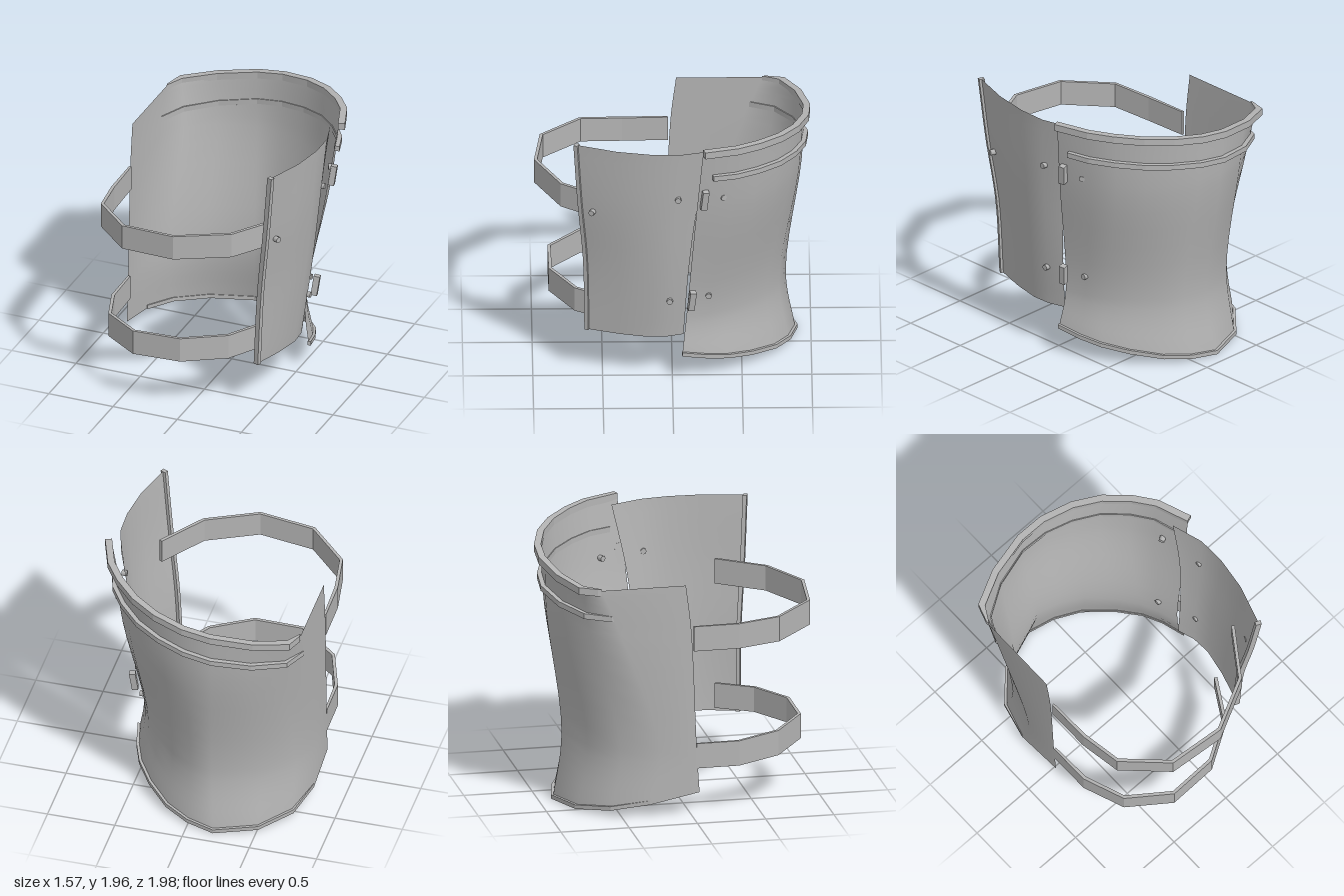
import * as THREE from 'three';

const V = (x, y, z) => new THREE.Vector3(x, y, z);
const CUT = -0.79; // flat inner side of the guard
const steel = new THREE.MeshStandardMaterial({ color: 0xb4b4b4, side: THREE.DoubleSide });
steel.name = 'steel grey';

function add(group, geometry, name) {
  const mesh = new THREE.Mesh(geometry, steel);
  mesh.name = name;
  group.add(mesh);
  return mesh;
}

// Smooth curved sheet: every column holds one point per level, joined by a spline
function columnsOf(levels, heightAt, rows) {
  return levels[0].map((_, j) => {
    const pts = levels.map((level, i) => V(level[j][0], heightAt(i, ...level[j]), level[j][1]));
    const spline = new THREE.CatmullRomCurve3(pts).getPoints(rows);
    spline.forEach(p => { p.x = Math.max(p.x, CUT); });
    return spline;
  });
}

function sheet(columns) {
  const rows = columns[0].length, index = [];
  for (let j = 0; j < columns.length - 1; j++) {
    for (let i = 0; i < rows - 1; i++) {
      const a = j * rows + i, b = a + rows;
      index.push(a, b, a + 1, b, b + 1, a + 1);
    }
  }
  const g = new THREE.BufferGeometry().setFromPoints(columns.flat());
  g.setIndex(index);
  g.computeVertexNormals();
  return g;
}

// Closed bar with flat faces from four-cornered sections
function bar(sections) {
  const index = [], n = sections.length;
  for (let i = 0; i < n - 1; i++) {
    for (let k = 0; k < 4; k++) {
      const a = i * 4 + k, b = i * 4 + (k + 1) % 4;
      index.push(a, b, a + 4, b, b + 4, a + 4);
    }
  }
  const e = (n - 1) * 4;
  index.push(0, 2, 1, 0, 3, 2, e, e + 1, e + 2, e, e + 2, e + 3);
  const g = new THREE.BufferGeometry().setFromPoints(sections.flat());
  g.setIndex(index);
  const flat = g.toNonIndexed();
  flat.computeVertexNormals();
  return flat;
}

// Horizontal band along a path: inner and outer offset, lower and upper height
function band(path, inner, outer, low, high) {
  return bar(path.map((p, i) => {
    const t = path[Math.min(i + 1, path.length - 1)].clone().sub(path[Math.max(i - 1, 0)]);
    const out = V(-t.z, 0, t.x).normalize();
    const at = (d, y) => {
      const q = p.clone().addScaledVector(out, d);
      return V(Math.max(q.x, CUT), q.y + y, q.z);
    };
    return [at(inner, low), at(outer, low), at(outer, high), at(inner, high)];
  }));
}

export function createModel() {
  const group = new THREE.Group();
  group.name = 'thighGuard';

  // Back plate: x, z of each column from the right seam round to the left edge
  const backLevels = [
    [[.57, -.07], [.53, -.25], [.47, -.4], [.35, -.57], [.18, -.74], [0, -.84], [-.2, -.89], [-.5, -.78], [-.7, -.57], [-.79, -.3], [-.79, .06]],
    [[.53, -.1], [.48, -.25], [.42, -.38], [.32, -.52], [.16, -.68], [0, -.77], [-.17, -.82], [-.5, -.7], [-.7, -.5], [-.79, -.23], [-.79, .04]],
    [[.66, -.17], [.6, -.42], [.5, -.58], [.36, -.73], [.18, -.84], [0, -.91], [-.2, -.935], [-.47, -.86], [-.68, -.72], [-.79, -.52], [-.79, 0]],
    [[.74, -.22], [.655, -.46], [.55, -.61], [.4, -.76], [.22, -.87], [0, -.94], [-.2, -.95], [-.49, -.89], [-.72, -.78], [-.79, -.66], [-.79, -.04]],
  ];
  const backHeight = (i, x, z) => [.2 + .2 * z + .04 * x, .5, 1.4, 1.855 + .147 * x][i];
  const back = columnsOf(backLevels, backHeight, 18);
  add(group, sheet(back), 'backPlate');

  // Rolled rim, raised ridge and bottom lip, all following the back plate
  const wrapped = back.slice(0, 10);
  const along = heightOf => wrapped.map(column => {
    const i = column.findIndex((p, k) => k === column.length - 1 || column[k + 1].y > heightOf(p.x));
    const a = column[i], b = column[Math.min(i + 1, column.length - 1)];
    const f = b.y > a.y ? (heightOf(a.x) - a.y) / (b.y - a.y) : 0;
    return a.clone().lerp(b, THREE.MathUtils.clamp(f, 0, 1));
  });
  add(group, band(wrapped.map(c => c[c.length - 1]), -.005, .045, -.04, .012), 'topRim');
  const ridge = along(x => 1.63 + .14 * x);
  ridge[0].lerp(ridge[1], .35);
  add(group, band(ridge, -.005, .035, -.02, .02), 'ridge');
  add(group, band(wrapped.map(c => c[0]), -.01, .015, 0, .03), 'bottomLip');

  // Side plate, tucked under the seam of the back plate
  const sideLevels = [
    [[.52, -.08], [.56, .04], [.568, .18], [.53, .38], [.46, .61]],
    [[.58, -.12], [.63, 0], [.64, .15], [.6, .38], [.49, .62]],
    [[.62, -.18], [.68, -.02], [.69, .15], [.655, .4], [.55, .66]],
    [[.65, -.28], [.72, -.05], [.725, .15], [.69, .4], [.6, .69]],
  ];
  const sideHeight = (i, x, z) => [.36 + .02 * z, .95, 1.45, 1.927 + .03 * z][i];
  const side = columnsOf(sideLevels, sideHeight, 14);
  add(group, sheet(side), 'sidePlate');

  // Thickened front edge of the side plate
  const out = V(.9, 0, .38), fwd = V(-.38, 0, .9);
  add(group, bar(side[4].map(p => [[-.025, -.015], [.018, -.015], [.018, .015], [-.025, .015]]
    .map(([o, f]) => p.clone().addScaledVector(out, o).addScaledVector(fwd, f)))), 'sidePlateEdge');

  // Straps across the open front: x, z, lower y
  const straps = {
    upperStrap: [[-.785, .02, 1.24], [-.775, .35, 1.24], [-.73, .65, 1.26], [-.45, .93, 1.28], [-.04, .975, 1.3], [.33, .79, 1.305], [.56, .46, 1.31]],
    lowerStrap: [[-.785, .04, .36], [-.775, .35, .36], [-.67, .655, .385], [-.39, .875, .41], [-.03, .87, .42], [.265, .69, .42], [.42, .43, .42]],
  };
  for (const [name, pts] of Object.entries(straps)) {
    add(group, band(pts.map(([x, z, y]) => V(x, y, z)), -.012, .012, 0, .185), name);
  }

  // Rivets and hinge blocks on the right side
  const rivets = [[.69, 1.545, -.04], [.62, 1.53, -.36], [.595, 1.395, .575], [.605, .675, .02], [.495, .66, -.26]];
  for (const [x, y, z] of rivets) {
    const rivet = add(group, new THREE.CylinderGeometry(.022, .022, .04, 8), 'rivet');
    rivet.rotation.z = Math.PI / 2;
    rivet.rotation.y = z < -.3 ? .5 : z > .3 ? -.4 : 0;
    rivet.position.set(x, y, z);
  }
  for (const [x, y, z] of [[.69, 1.54, -.23], [.595, .67, -.14]]) {
    const hinge = add(group, new THREE.BoxGeometry(.045, .15, .045), 'hinge');
    hinge.position.set(x, y, z);
    hinge.rotation.set(-.09, .2, -.12);
  }
  return group;
}
